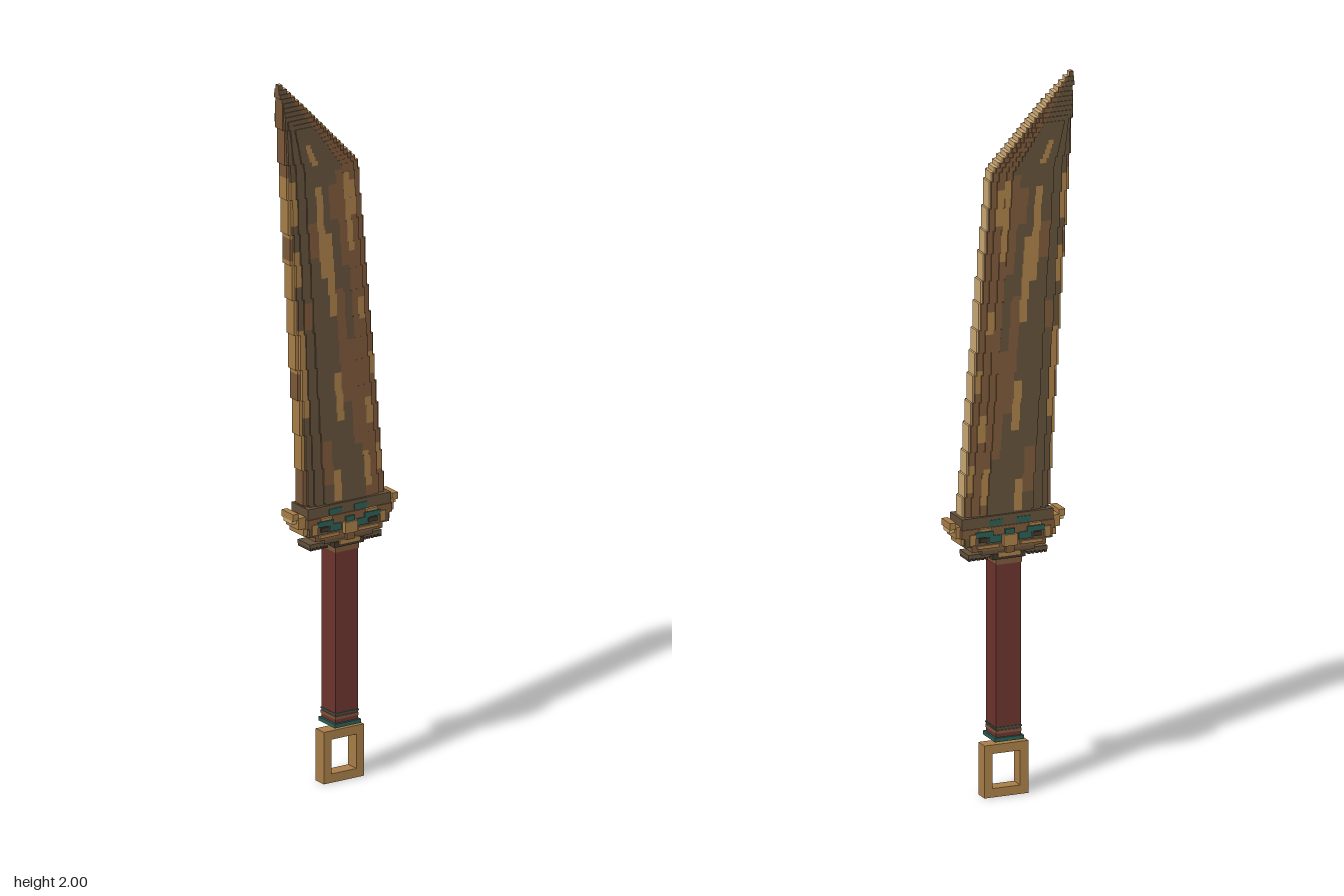
import * as THREE from 'three';
import { mergeGeometries } from 'three/addons/utils/BufferGeometryUtils.js';

const palette = {
  olive: 0x62503a, brown: 0x7b583a, tan: 0xa67d47, paleGold: 0xcaa672,
  maroon: 0x6b332d, teal: 0x2c5e54, dark: 0x40362a,
};
const materials = {};
for (const [name, color] of Object.entries(palette)) {
  materials[name] = new THREE.MeshStandardMaterial({ color });
  materials[name].name = name;
}

// Collects boxes by colour and merges each colour into one mesh
class Blocks {
  constructor(name) { this.name = name; this.sets = {}; }
  // Box spanning x0..x1, y0..y1, z0..z1
  add(color, x0, x1, y0, y1, z0, z1) {
    const g = new THREE.BoxGeometry(x1 - x0, y1 - y0, z1 - z0);
    g.translate((x0 + x1) / 2, (y0 + y1) / 2, (z0 + z1) / 2);
    (this.sets[color] ??= []).push(g);
  }
  // Box centred on z = 0 with half depth z
  mid(color, x0, x1, y0, y1, z) { this.add(color, x0, x1, y0, y1, -z, z); }
  // Raised plate on both the front and back faces
  plate(color, x0, x1, y0, y1, z0, z1) {
    this.add(color, x0, x1, y0, y1, z0, z1);
    this.add(color, x0, x1, y0, y1, -z1, -z0);
  }
  build() {
    const group = new THREE.Group();
    group.name = this.name;
    for (const [color, list] of Object.entries(this.sets)) {
      const mesh = new THREE.Mesh(mergeGeometries(list), materials[color]);
      mesh.name = `${this.name} ${color}`;
      group.add(mesh);
    }
    return group;
  }
}

const CX = 0.015; // centre line of the handle

// Blade bands: start and end across the width, half depth, colour, worn patches in y
const bands = [
  [0, 0.04, 0.018, 'brown', 'tan', [[0.9, 1.1], [1.18, 1.5], [1.56, 1.74]]],
  [0.04, 0.11, 0.026, 'olive', 'tan', [[1.05, 1.3], [1.42, 1.52], [1.6, 1.72]]],
  [0.11, 0.22, 0.03, 'olive', 'brown', [[1.3, 1.38]]],
  [0.22, 0.35, 0.034, 'olive', 'brown', [[0.85, 0.98], [1.5, 1.6]]],
  [0.35, 0.44, 0.034, 'olive', 'tan', [[0.8, 0.89], [1.44, 1.7], [1.76, 1.83]]],
  [0.44, 0.53, 0.034, 'olive', 'tan', [[1.02, 1.16], [1.32, 1.56]]],
  [0.53, 0.64, 0.034, 'olive', 'brown', [[1.08, 1.4], [1.6, 1.7]]],
  [0.64, 0.74, 0.034, 'olive', 'brown', [[0.95, 1.25], [1.46, 1.74]]],
  [0.74, 0.82, 0.032, 'brown', 'tan', [[0.82, 0.93], [1.5, 1.72]]],
  [0.82, 0.91, 0.03, 'brown', 'tan', [[1.0, 1.08], [1.3, 1.36], [1.6, 1.7]]],
  [0.91, 0.98, 0.026, 'brown', 'tan', [[0.86, 0.94], [1.14, 1.2]]],
];

function blade() {
  const b = new Blocks('blade');
  const y0 = 0.775, rows = 98, h = (2 - y0) / rows;
  const snap = (v) => Math.round(v / 0.006) * 0.006;
  for (let i = 0; i < rows; i++) {
    const lo = y0 + i * h, hi = lo + h, y = (lo + hi) / 2;
    const left = snap(-0.11 - (y - 0.79) * 0.062);
    const right = Math.max(left + 0.01, Math.min(
      snap(0.146 - (y - 0.79) * 0.089), -0.185 + (2 - lo) / 1.06));
    const w = right - left;
    const taper = 0.007 + (2 - y) * 0.21; // thins towards the tip
    for (const [f0, f1, z, base, worn, patches] of bands) {
      const color = patches.some(([a, c]) => y > a && y < c) ? worn : base;
      b.mid(color, left + f0 * w, left + f1 * w, lo, hi, Math.min(z, taper));
    }
    // Pale spine set into the back edge and the slanted end
    b.mid('paleGold', left + 0.95 * w, right, lo, hi, Math.min(0.02, taper * 0.8));
    if (y > 1.73) {
      b.mid('paleGold', right - Math.min(0.02, w * 0.5), right, hi - 0.002, hi + 0.0004,
        Math.min(0.02, taper * 0.7));
    }
  }
  return b.build();
}

function guard() {
  const b = new Blocks('guard');
  // Stacked body, narrowing downwards in steps
  b.mid('olive', CX - 0.128, CX + 0.138, 0.765, 0.795, 0.04);
  b.mid('brown', CX - 0.13, CX + 0.14, 0.74, 0.765, 0.043);
  b.mid('olive', CX - 0.125, CX + 0.13, 0.715, 0.74, 0.042);
  b.mid('brown', CX - 0.105, CX + 0.11, 0.7, 0.715, 0.042);
  b.mid('olive', CX - 0.075, CX + 0.08, 0.688, 0.7, 0.04);
  b.mid('dark', CX - 0.045, CX + 0.05, 0.672, 0.688, 0.043);

  for (const s of [-1, 1]) {
    // Box mirrored about the centre line
    const side = (fn, color, a, c, ...rest) =>
      b[fn](color, Math.min(CX + s * a, CX + s * c), Math.max(CX + s * a, CX + s * c), ...rest);
    // Flared tips
    side('mid', 'tan', 0.125, 0.152, 0.74, 0.772, 0.03);
    side('mid', 'paleGold', 0.145, 0.166, 0.755, 0.766, 0.02);
    side('mid', 'tan', 0.15, 0.168, 0.766, 0.785, 0.028);
    side('mid', 'tan', 0.115, 0.138, 0.72, 0.74, 0.034);
    // Eye-like inlays with rims
    side('plate', 'teal', 0.025, 0.068, 0.722, 0.742, 0.041, 0.046);
    side('plate', 'teal', 0.05, 0.1, 0.74, 0.755, 0.042, 0.047);
    side('plate', 'dark', 0.06, 0.09, 0.726, 0.738, 0.041, 0.048);
    side('plate', 'tan', 0.055, 0.09, 0.757, 0.765, 0.04, 0.049);
    side('plate', 'tan', 0.03, 0.095, 0.708, 0.717, 0.04, 0.047);
    side('plate', 'tan', 0.1, 0.118, 0.72, 0.75, 0.041, 0.047);
    side('plate', 'teal', 0.02, 0.06, 0.768, 0.784, 0.039, 0.042);
    // Small studs under the guard
    for (let k = 0; k < 5; k++) {
      const x = 0.058 + k * 0.012;
      side('mid', 'dark', x, x + 0.008, 0.672, 0.679, 0.03);
    }
    side('mid', 'olive', 0.05, 0.115, 0.679, 0.69, 0.03);
  }
  // Centre ornament
  b.plate('tan', CX - 0.018, CX + 0.022, 0.71, 0.742, 0.04, 0.055);
  b.plate('brown', CX - 0.01, CX + 0.014, 0.69, 0.71, 0.038, 0.05);
  b.plate('teal', CX - 0.012, CX + 0.016, 0.742, 0.756, 0.04, 0.049);
  b.plate('tan', CX - 0.03, CX + 0.034, 0.68, 0.692, 0.038, 0.046);
  return b.build();
}

function grip() {
  const b = new Blocks('grip');
  b.mid('maroon', CX - 0.036, CX + 0.036, 0.17, 0.675, 0.034);
  b.mid('teal', CX - 0.042, CX + 0.042, 0.16, 0.171, 0.04);
  b.mid('brown', CX - 0.037, CX + 0.037, 0.182, 0.19, 0.036);
  b.mid('teal', CX - 0.038, CX + 0.038, 0.195, 0.199, 0.036);
  b.mid('brown', CX - 0.038, CX + 0.038, 0.655, 0.674, 0.036);
  return b.build();
}

// Square ring pommel
function pommel() {
  const s = new THREE.Shape();
  const rect = (path, x0, x1, y0, y1) =>
    path.moveTo(x0, y0).lineTo(x1, y0).lineTo(x1, y1).lineTo(x0, y1).closePath();
  rect(s, CX - 0.064, CX + 0.064, 0, 0.147);
  const hole = new THREE.Path();
  rect(hole, CX - 0.04, CX + 0.04, 0.025, 0.122);
  s.holes.push(hole);
  const g = new THREE.ExtrudeGeometry(s, { depth: 0.04, bevelEnabled: false });
  g.translate(0, 0, -0.02);
  const mesh = new THREE.Mesh(g, materials.tan);
  mesh.name = 'pommel ring';
  return mesh;
}

export function createModel() {
  const model = new THREE.Group();
  model.name = 'broad sword';
  model.add(blade(), guard(), grip(), pommel());
  return model;
}
